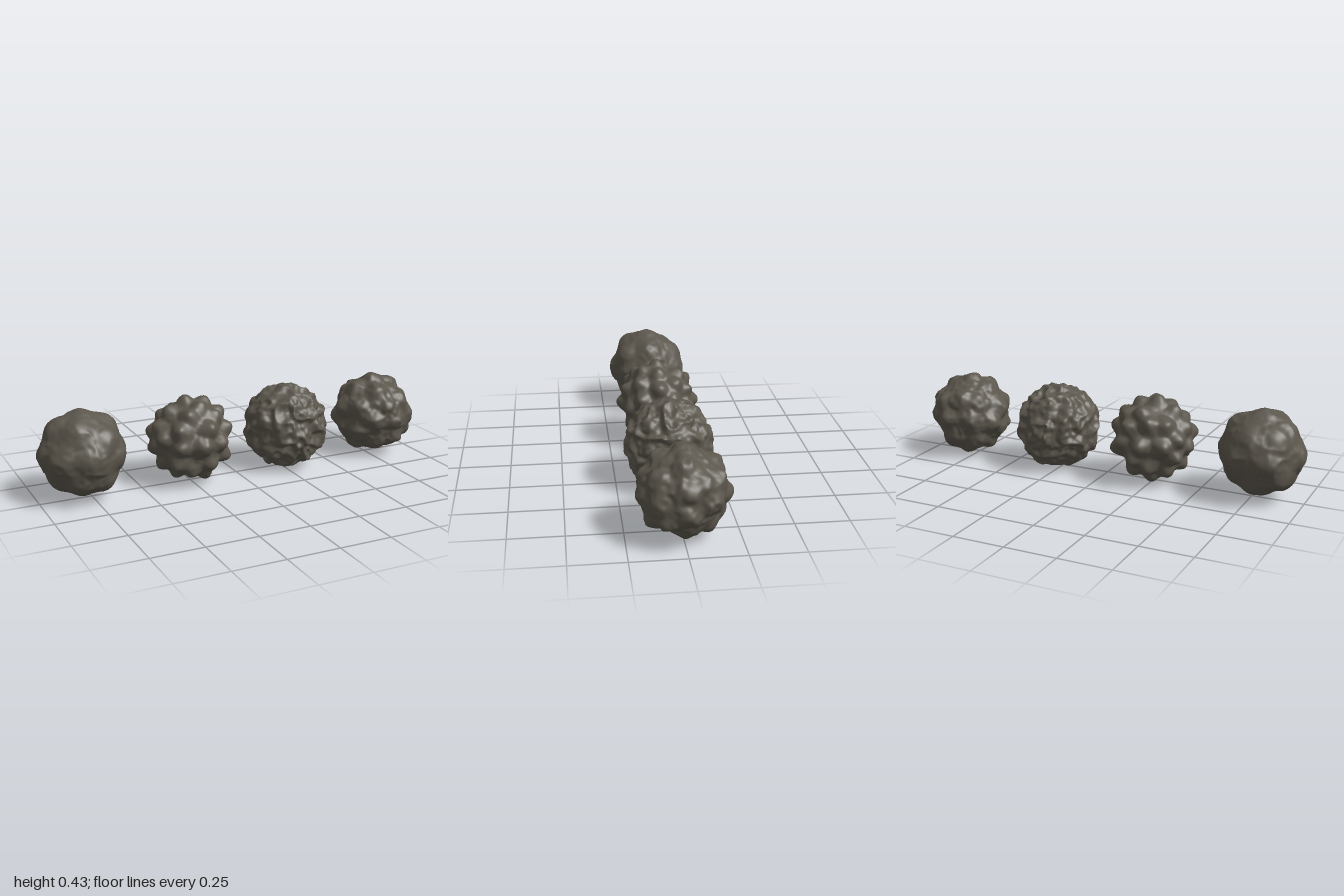
import * as THREE from 'three';
import { mergeVertices } from 'three/addons/utils/BufferGeometryUtils.js';

const stone = new THREE.MeshStandardMaterial({ color: 0x5c574d });
stone.name = 'dark stone';

// Smooth value noise in 0..1
const hash = (x, y, z) => {
  const s = Math.sin(x * 127.1 + y * 311.7 + z * 74.7) * 43758.5453;
  return s - Math.floor(s);
};
function noise(x, y, z) {
  const [i, j, k] = [Math.floor(x), Math.floor(y), Math.floor(z)];
  const ease = (t) => t * t * (3 - 2 * t);
  const [u, v, w] = [ease(x - i), ease(y - j), ease(z - k)];
  let sum = 0;
  for (let a = 0; a < 2; a++)
    for (let b = 0; b < 2; b++)
      for (let c = 0; c < 2; c++)
        sum += hash(i + a, j + b, k + c) * (a ? u : 1 - u) * (b ? v : 1 - v) * (c ? w : 1 - w);
  return sum;
}

// Knob directions: an upright ring, a level ring, then an even spread in the gaps
function knobDirections({ upright, level, gap }) {
  const dirs = [];
  const add = (x, y, z) => {
    const d = new THREE.Vector3(x, y, z);
    if (dirs.every((e) => e.angleTo(d) > gap)) dirs.push(d);
  };
  const ring = ({ count, start }, place) => {
    for (let i = 0; i < count; i++) {
      const a = THREE.MathUtils.degToRad(start + (i * 360) / count);
      place(Math.cos(a), Math.sin(a));
    }
  };
  ring(upright, (c, s) => add(c, s, 0));
  ring(level, (c, s) => add(c, 0, -s));
  const n = 240;
  for (let i = 0; i < n; i++) {
    const k = (i * 89) % n;
    const y = 1 - (2 * k + 1) / n;
    const r = Math.sqrt(1 - y * y);
    add(r * Math.cos(k * 2.4), y, r * Math.sin(k * 2.4));
  }
  return dirs;
}

// A sphere pushed out by knobs, folded ridges and fine grain
function makeRock(spec) {
  const { name, x, y, core, knob, width, ridge, grain, seed } = spec;
  const dirs = knobDirections(spec);
  const sphere = new THREE.IcosahedronGeometry(1, 36);
  sphere.deleteAttribute('normal');
  sphere.deleteAttribute('uv');
  const geometry = mergeVertices(sphere, 1e-4);

  const pos = geometry.attributes.position;
  const p = new THREE.Vector3();
  for (let i = 0; i < pos.count; i++) {
    p.fromBufferAttribute(pos, i).normalize();
    let sum = 0;
    dirs.forEach((d, k) => {
      const t = (2 - 2 * p.dot(d)) / (width * width);
      const size = 0.85 + 0.22 * hash(k, seed, 3);
      sum += (size * Math.exp(-t)) ** 2;
    });
    const bend = 0.5 * noise(p.x * 3 + seed, p.y * 3, p.z * 3);
    const field = (s) => noise(p.x * s + seed + bend, p.y * s + bend, p.z * s + seed);
    const crest = 1 - Math.min(1, Math.abs(2 * field(3.2) - 1) * 1.6);
    p.multiplyScalar(core + knob * Math.sqrt(sum) + ridge * crest + grain * (field(8) - 0.5));
    pos.setXYZ(i, p.x, p.y, p.z);
  }
  geometry.computeVertexNormals();

  const mesh = new THREE.Mesh(geometry, stone);
  mesh.name = name;
  mesh.position.set(x, y, 0);
  return mesh;
}

const rocks = [
  {
    // broad, gently faceted boulder
    name: 'smoothRock', seed: 2, x: -0.787, y: 0.235, core: 0.18,
    upright: { count: 8, start: 0 }, level: { count: 7, start: 14 },
    gap: 0.6, knob: 0.028, width: 0.36, ridge: 0.005, grain: 0.005,
  },
  {
    // boulder covered in round knobs
    name: 'knobbyRock', seed: 5, x: -0.248, y: 0.23, core: 0.165,
    upright: { count: 12, start: 7 }, level: { count: 10, start: 18 },
    gap: 0.42, knob: 0.05, width: 0.25, ridge: 0, grain: 0.006,
  },
  {
    // crinkled boulder with sharp folds and pits
    name: 'crinkledRock', seed: 9, x: 0.274, y: 0.219, core: 0.184,
    upright: { count: 12, start: 25 }, level: { count: 10, start: 20 },
    gap: 0.45, knob: 0.012, width: 0.28, ridge: 0.022, grain: 0.018,
  },
  {
    // boulder with mixed low bumps
    name: 'bumpyRock', seed: 14, x: 0.79, y: 0.223, core: 0.175,
    upright: { count: 10, start: 21 }, level: { count: 9, start: 0 },
    gap: 0.46, knob: 0.033, width: 0.28, ridge: 0.006, grain: 0.01,
  },
];

export function createModel() {
  const group = new THREE.Group();
  group.name = 'rockSet';
  rocks.forEach((rock) => group.add(makeRock(rock)));
  return group;
}
